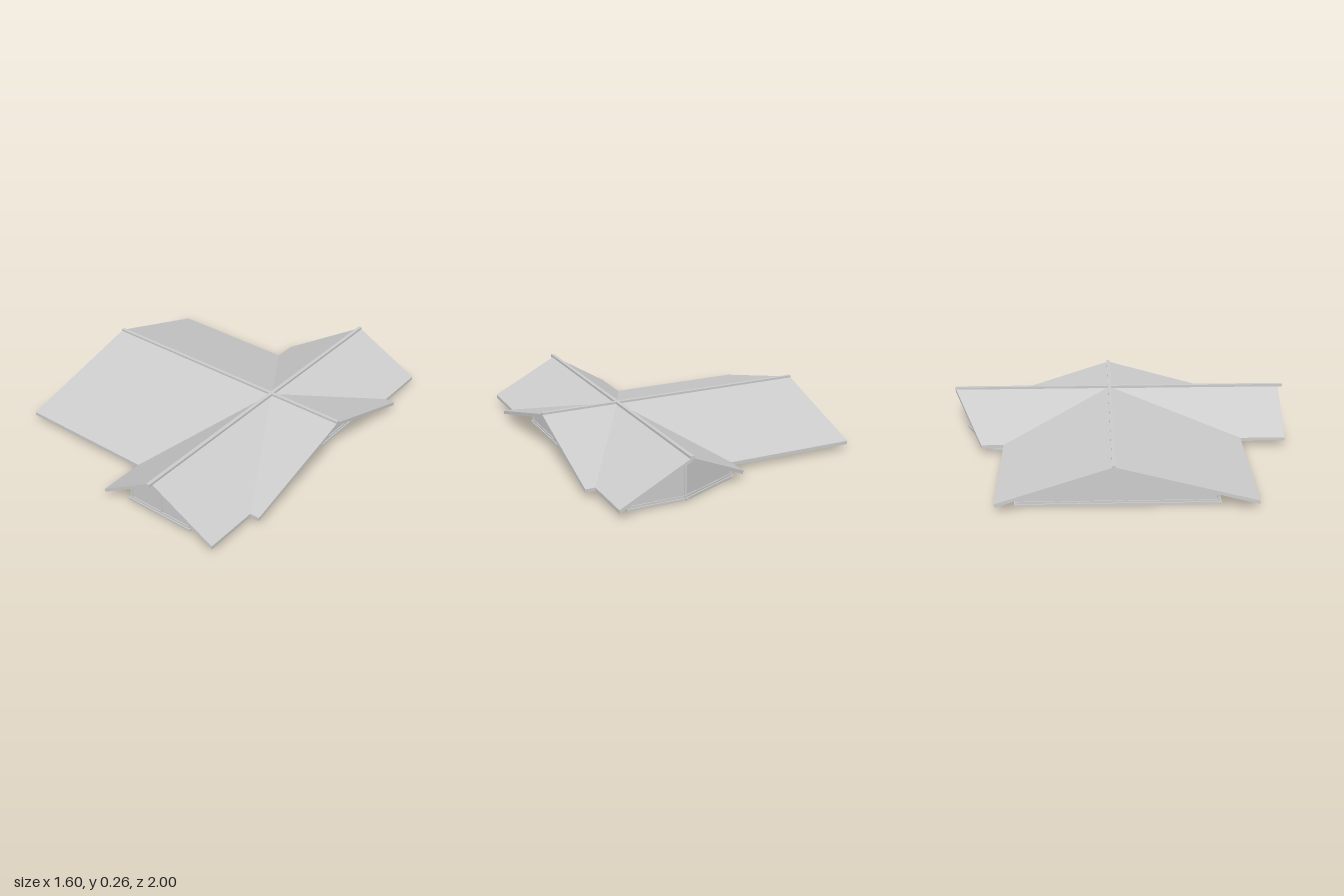
import * as THREE from 'three';

const RIDGE_Y = 0.256, EAVE_Y = 0.051, THICK = 0.02;
const CX = 0.345, CZ = -0.06; // where the two ridges cross

const grey = () => new THREE.MeshStandardMaterial({ color: 0xcccccc, flatShading: true });

function add(parent, name, geometry, x = 0, y = 0, z = 0, turn = 0) {
  const mesh = new THREE.Mesh(geometry, grey());
  mesh.name = name;
  mesh.position.set(x, y, z);
  mesh.rotation.y = turn;
  parent.add(mesh);
  return mesh;
}

// Sloping slab: a convex quad of [x, y, z] corners, thickened straight down
function slab(corners) {
  const top = corners.map(c => new THREE.Vector3(...c));
  const normal = top[1].clone().sub(top[0]).cross(top[2].clone().sub(top[0]));
  if (normal.y < 0) top.reverse();
  const low = top.map(p => p.clone().setY(p.y - THICK));
  const pos = [];
  const quad = (a, b, c, d) => [a, b, c, a, c, d].forEach(p => pos.push(p.x, p.y, p.z));
  quad(...top);
  quad(low[3], low[2], low[1], low[0]);
  for (let i = 0; i < 4; i++) {
    const j = (i + 1) % 4;
    quad(top[i], low[i], low[j], top[j]);
  }
  const g = new THREE.BufferGeometry();
  g.setAttribute('position', new THREE.Float32BufferAttribute(pos, 3));
  g.computeVertexNormals();
  return g;
}

// Height of the roof underside over a point of the plan
function ceiling(x, z) {
  const runZ = z < CZ ? 0.63 : x < CX ? 0.77 : 0.715;
  const runX = x < CX && z > CZ ? 0.335 : 0.395;
  const fall = Math.min(Math.abs(z - CZ) / runZ, Math.abs(x - CX) / runX);
  return RIDGE_Y - (RIDGE_Y - EAVE_Y) * fall - THICK;
}

export function createModel() {
  const house = new THREE.Group();
  house.name = 'crossGableHouse';

  // Roof: each valley corner serves one slope of the main roof and one of the wing
  const roof = new THREE.Group();
  roof.name = 'roof';
  house.add(roof);
  const valleys = [
    // valley x, valley z, main roof end x, wing eave end z, wing ridge end z
    [0.01, 0.71, -0.8, 0.975, 0.975],
    [0.74, 0.655, 0.795, 0.975, 0.975],
    [0.74, -0.69, 0.795, -1, -1],
    [-0.05, -0.69, -0.8, -0.82, -1],
  ];
  const centre = [CX, RIDGE_Y, CZ];
  for (const [vx, vz, endX, eaveZ, ridgeZ] of valleys) {
    const valley = [vx, EAVE_Y, vz];
    add(roof, 'mainRoofSlope', slab([centre, [endX, RIDGE_Y, CZ], [endX, EAVE_Y, vz], valley]));
    add(roof, 'wingRoofSlope', slab([centre, [CX, RIDGE_Y, ridgeZ], [vx, EAVE_Y, eaveZ], valley]));
  }
  add(roof, 'mainRidgeCap', new THREE.BoxGeometry(1.595, 0.018, 0.02), -0.0025, 0.256, CZ);
  add(roof, 'wingRidgeCap', new THREE.BoxGeometry(0.02, 0.018, 2), CX, 0.256, 0);

  // Walls: the stepped footprint as a loop of [x, z] corners
  const plan = [
    [-0.72, 0.5], [-0.425, 0.5], [-0.425, 0.64], [0.14, 0.64], [0.14, 0.9], [0.53, 0.9],
    [0.53, 0.5], [0.655, 0.5], [0.655, -0.92], [CX, -0.92], [0, -0.765], [0, -0.575], [-0.72, -0.575],
  ];
  const walls = new THREE.Group();
  walls.name = 'walls';
  house.add(walls);
  plan.forEach(([x0, z0], i) => {
    const [x1, z1] = plan[(i + 1) % plan.length];
    const dx = x1 - x0, dz = z1 - z0, length = Math.hypot(dx, dz);
    const turn = -Math.atan2(dz, dx);

    // Panel whose top follows the roof, with a sample exactly at each ridge
    const steps = Array.from({ length: 25 }, (_, k) => k / 24);
    for (const t of [(CX - x0) / dx, (CZ - z0) / dz]) if (t > 0 && t < 1) steps.push(t);
    steps.sort((a, b) => b - a);
    const shape = new THREE.Shape();
    shape.moveTo(0, 0.01).lineTo(length, 0.01);
    steps.forEach(t => shape.lineTo(t * length, ceiling(x0 + dx * t, z0 + dz * t) + 0.004));
    const panel = new THREE.ExtrudeGeometry(shape, { depth: 0.008, bevelEnabled: false });
    add(walls, 'wallPanel', panel.translate(0, 0, -0.004), x0, 0, z0, turn);

    // Stepped footing
    const mx = (x0 + x1) / 2, mz = (z0 + z1) / 2;
    add(walls, 'plinth', new THREE.BoxGeometry(length + 0.03, 0.014, 0.03), mx, 0.007, mz, turn);
    add(walls, 'sill', new THREE.BoxGeometry(length + 0.018, 0.012, 0.018), mx, 0.019, mz, turn);
  });

  // Posts at the corners and in the middle of each gable
  const posts = [...plan, [CX, 0.9], [0.655, CZ], [-0.72, CZ], [0.655, -0.575]];
  for (const [x, z] of posts) {
    const h = ceiling(x, z) + 0.003;
    add(walls, 'post', new THREE.BoxGeometry(0.015, h, 0.015), x, h / 2, z);
  }
  return house;
}
